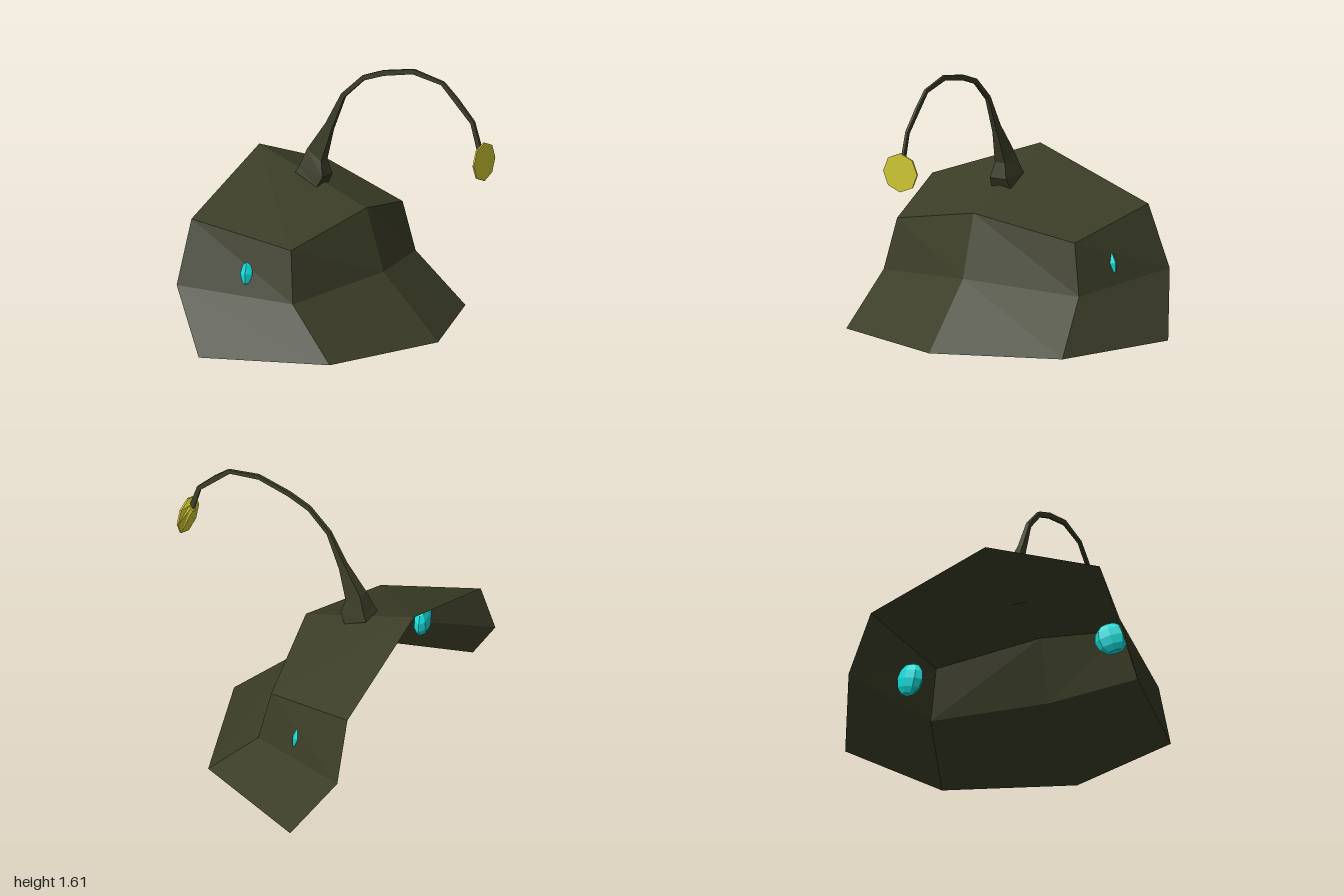
import * as THREE from 'three';

const olive = new THREE.MeshStandardMaterial({ color: 0x3b3d27, flatShading: true, side: THREE.DoubleSide });
olive.name = 'dark olive';
const yellow = new THREE.MeshStandardMaterial({ color: 0xcec634, flatShading: true, side: THREE.DoubleSide });
yellow.name = 'lamp yellow';
const cyan = new THREE.MeshStandardMaterial({ color: 0x12dcda, flatShading: true });
cyan.name = 'gem cyan';

// Turns a list of polygons (arrays of [x, y, z], counter-clockwise) into a mesh
function polygonMesh(name, polygons, material) {
  const positions = [];
  for (const p of polygons) {
    for (let i = 1; i < p.length - 1; i++) positions.push(...p[0], ...p[i], ...p[i + 1]);
  }
  const geometry = new THREE.BufferGeometry();
  geometry.setAttribute('position', new THREE.Float32BufferAttribute(positions, 3));
  geometry.computeVertexNormals();
  const mesh = new THREE.Mesh(geometry, material);
  mesh.name = name;
  return mesh;
}

// Skins a run of equal-sized rings and closes both ends
function loft(name, rings, material) {
  const faces = [rings[0], [...rings[rings.length - 1]].reverse()];
  for (let i = 0; i < rings.length - 1; i++) {
    const n = rings[i].length;
    for (let j = 0; j < n; j++) {
      const k = (j + 1) % n;
      faces.push([rings[i][j], rings[i + 1][j], rings[i + 1][k], rings[i][k]]);
    }
  }
  return polygonMesh(name, faces, material);
}

// Open faceted shell: half is described, then mirrored in z
function createShell() {
  const back = [[-0.76, 0.73, 0.73], [-0.775, 0.365, 0.865], [-0.54, 0, 1]];
  const corner = [[-0.165, 0.6, 0.6], [-0.115, 0.3, 0.66], [0.18, 0, 0.73]];
  const centre = [[-0.03, 0.73, 0], [0.085, 0.365, 0], [0.455, 0, 0]];
  const half = [];
  for (let i = 0; i < 2; i++) {
    half.push([back[i], back[i + 1], corner[i + 1], corner[i]]);
    half.push([corner[i], corner[i + 1], centre[i + 1], centre[i]]);
  }
  // Roof panel, slightly folded around a middle point
  const fold = [-0.4, 0.755, 0.37];
  const rim = [[-0.76, 1, 0], back[0], corner[0], centre[0], [-0.3, 0.83, 0]];
  rim.forEach((p, i) => half.push([fold, p, rim[(i + 1) % rim.length]]));

  const mirrored = half.map(f => f.map(([x, y, z]) => [x, y, -z]).reverse());
  return polygonMesh('shell', [...half, ...mirrored], olive);
}

// Curved stalk with a flared foot: outer x, y, inner x, y, half width
function createStalk() {
  const sections = [
    [-0.475, 0.89, -0.33, 0.82, 0.065],
    [-0.455, 0.93, -0.297, 0.88, 0.055],
    [-0.415, 1.03, -0.318, 0.97, 0.034],
    [-0.3, 1.2, -0.262, 1.16, 0.016],
    [-0.197, 1.39, -0.177, 1.37, 0.011],
    [-0.055, 1.52, -0.048, 1.49, 0.009],
    [0.08, 1.57, 0.09, 1.54, 0.008],
    [0.29, 1.61, 0.287, 1.58, 0.008],
    [0.495, 1.565, 0.48, 1.545, 0.008],
    [0.59, 1.48, 0.57, 1.455, 0.008],
    [0.702, 1.36, 0.68, 1.345, 0.008],
    [0.752, 1.205, 0.724, 1.19, 0.008],
  ];
  const rings = sections.map(([ox, oy, ix, iy, w]) =>
    [[ox, oy, w], [ox, oy, -w], [ix, iy, -w], [ix, iy, w]]);
  return loft('stalk', rings, olive);
}

// Octagonal lamp flaring from the stalk tip to a flat disc
function createLamp() {
  const ring = (x, y, r, tilt) => Array.from({ length: 8 }, (_, i) => {
    const t = i * Math.PI / 4;
    return [x + tilt * Math.cos(t), y + r * Math.cos(t), -r * Math.sin(t)];
  });
  return loft('lamp', [ring(0.735, 1.197, 0.025, 0.014), ring(0.762, 1.13, 0.115, 0), ring(0.772, 1.13, 0.115, 0)], yellow);
}

// Faceted gem set through a side panel, mostly on the inner side
function createGem(side) {
  const normal = new THREE.Vector3(0.29, 0.26, 0.92 * side).normalize();
  const gem = new THREE.Mesh(new THREE.SphereGeometry(1, 8, 6), cyan);
  gem.name = side > 0 ? 'frontGem' : 'rearGem';
  gem.scale.set(0.05, 0.1, 0.1);
  gem.position.set(-0.4, 0.45, 0.712 * side).addScaledVector(normal, -0.075);
  gem.lookAt(gem.position.clone().add(normal));
  return gem;
}

export function createModel() {
  const model = new THREE.Group();
  model.name = 'lampHood';
  model.add(createShell(), createStalk(), createLamp(), createGem(1), createGem(-1));
  return model;
}
